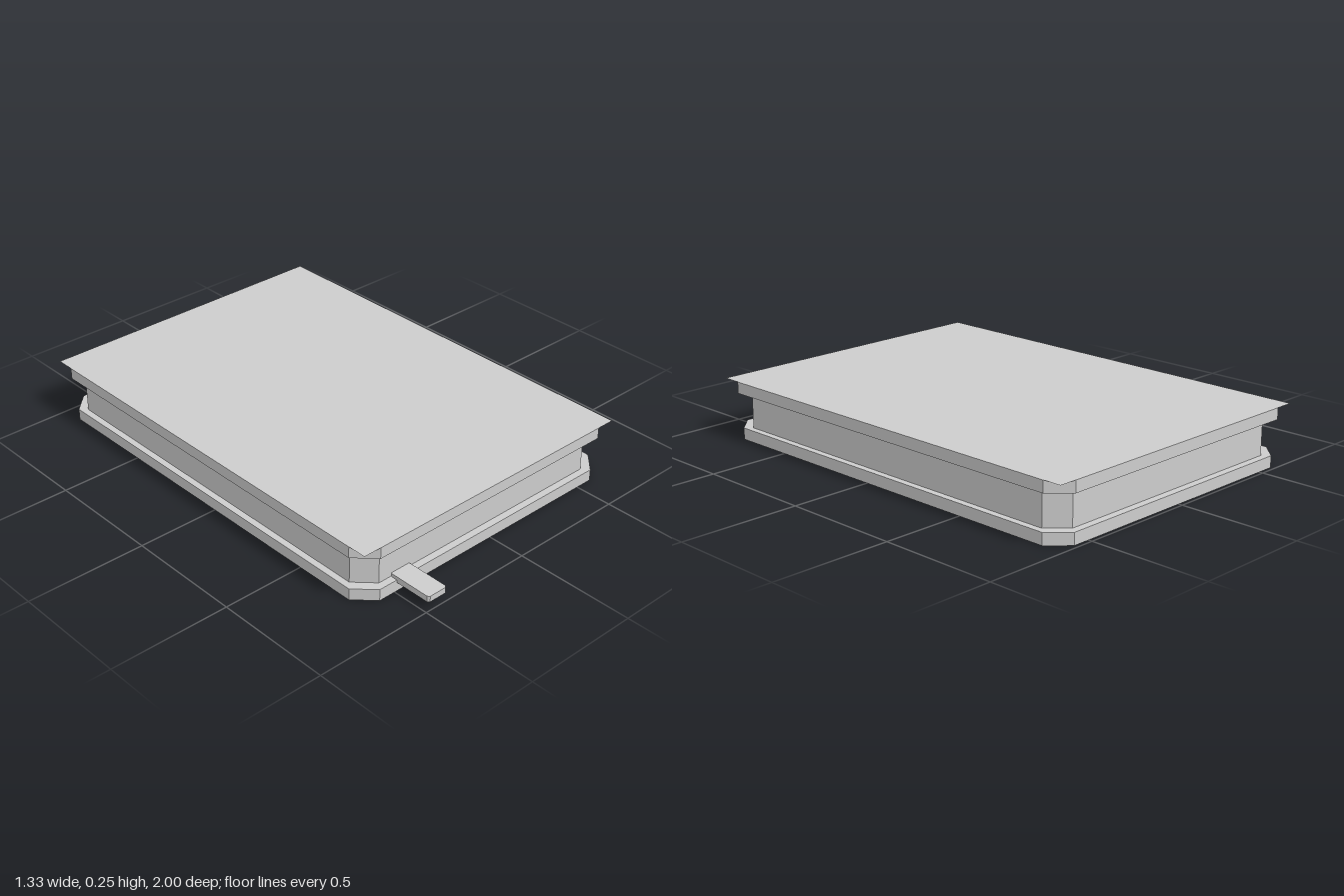
import * as THREE from 'three';

const CENTRE_Z = -0.072;

export function createModel() {
  const model = new THREE.Group();
  model.name = 'chamferedCase';
  const grey = new THREE.MeshStandardMaterial({ color: 0xcccccc });
  grey.name = 'light grey';
  grey.side = THREE.DoubleSide;

  const add = (name, geometry) => {
    const mesh = new THREE.Mesh(geometry, grey);
    mesh.name = name;
    model.add(mesh);
    return mesh;
  };

  // Horizontal slab with cut corners: half width, half depth, corner cut, bottom, top
  const slab = (name, w, d, c, y0, y1, x = 0, z = CENTRE_Z) => {
    const outline = [
      [w - c, -d], [w, c - d], [w, d - c], [w - c, d],
      [c - w, d], [-w, d - c], [-w, c - d], [c - w, -d],
    ].map(([px, py]) => new THREE.Vector2(px, py));
    const geometry = new THREE.ExtrudeGeometry(new THREE.Shape(outline), { depth: y1 - y0, bevelEnabled: false });
    geometry.rotateX(-Math.PI / 2);
    add(name, geometry).position.set(x, y0, z);
  };

  // Stacked body
  slab('bottomSlab', 0.652, 0.912, 0.078, 0, 0.049);
  slab('middleBody', 0.624, 0.881, 0.075, 0.049, 0.197);
  slab('topSlab', 0.664, 0.925, 0.079, 0.197, 0.245);

  // Square-cornered sheet lying on the top slab
  const sheet = new THREE.PlaneGeometry(1.328, 1.852);
  sheet.rotateX(-Math.PI / 2);
  add('topSheet', sheet).position.set(0, 0.2455, CENTRE_Z);

  // Small tab sticking out of the front
  slab('frontTab', 0.046, 0.0975, 0.008, 0.038, 0.063, -0.444, 0.9025);

  return model;
}
